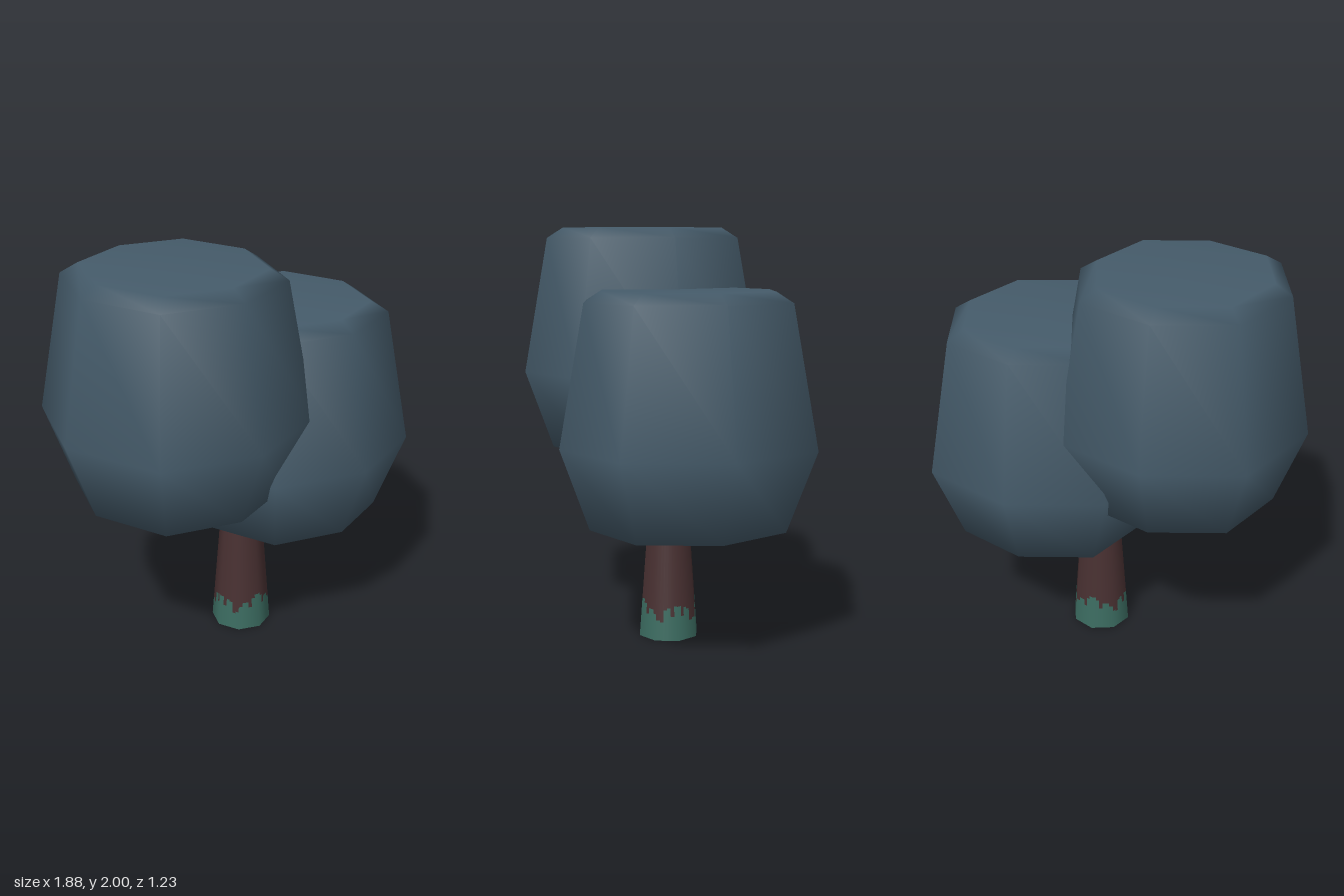
import * as THREE from 'three';

const leafMat = new THREE.MeshStandardMaterial({ name: 'slate blue leaves', color: 0x455b6a });
const barkMat = new THREE.MeshStandardMaterial({ name: 'dark bark', color: 0x483031, side: THREE.DoubleSide });
const mossMat = new THREE.MeshStandardMaterial({ name: 'green moss', color: 0x3b6b60, side: THREE.DoubleSide });

// Eight-sided leaf crown: profile as [radius, height] from bottom to top
function makeCrown(name, x, y) {
  const profile = [[0, 0], [0.475, 0], [0.615, 0.385], [0.495, 1.045], [0.415, 1.095], [0, 1.095]];
  const geo = new THREE.LatheGeometry(profile.map(([r, h]) => new THREE.Vector2(r, h)), 8);
  // The diagonal corners bulge a little beyond a regular octagon
  const pos = geo.attributes.position;
  for (let i = 0; i < pos.count; i++) {
    const px = pos.getX(i), pz = pos.getZ(i);
    if (Math.abs(px) > 0.1 && Math.abs(pz) > 0.1) {
      pos.setX(i, px * 1.02);
      pos.setZ(i, pz * 1.07);
    }
  }
  const crown = new THREE.Mesh(geo, leafMat);
  crown.name = name;
  crown.position.set(x, y, 0);
  return crown;
}

// Moss edge heights over a quarter turn, mirrored around the trunk
const mossEdge = [0.19, 0.17, 0.12, 0.15, 0.15, 0.13, 0.1, 0.09, 0.15, 0.16, 0.12, 0.17];
const COLUMNS = 48;
const TRUNK_TOP = 0.75;

function mossHeight(column) {
  const i = column % 24;
  return mossEdge[i < 12 ? i : 23 - i];
}

// Point on the tapered eight-sided trunk wall
function trunkPoint(column, y) {
  const a = (column / COLUMNS) * Math.PI * 2;
  const side = Math.PI / 4;
  const local = (((column % 6) / 6) - 0.5) * side;
  const r = (0.151 - 0.075 * y) * Math.cos(side / 2) / Math.cos(local);
  return [Math.sin(a) * r, y, Math.cos(a) * r];
}

// Wall of narrow strips between two heights given per column
function makeWall(name, low, high, material) {
  const positions = [], normals = [];
  for (let c = 0; c < COLUMNS; c++) {
    const y0 = low(c), y1 = high(c);
    const corners = [[c, y0], [c + 1, y0], [c + 1, y1], [c, y0], [c + 1, y1], [c, y1]];
    for (const [col, y] of corners) {
      const a = (col / COLUMNS) * Math.PI * 2;
      positions.push(...trunkPoint(col, y));
      normals.push(Math.sin(a) * 0.997, 0.075, Math.cos(a) * 0.997);
    }
  }
  const geo = new THREE.BufferGeometry();
  geo.setAttribute('position', new THREE.Float32BufferAttribute(positions, 3));
  geo.setAttribute('normal', new THREE.Float32BufferAttribute(normals, 3));
  const wall = new THREE.Mesh(geo, material);
  wall.name = name;
  return wall;
}

export function createModel() {
  const tree = new THREE.Group();
  tree.name = 'tree';

  // Trunk, open at the base, with moss creeping up from the ground
  const trunk = new THREE.Group();
  trunk.name = 'trunk';
  trunk.position.x = 0.077;
  trunk.add(
    makeWall('moss', () => 0, mossHeight, mossMat),
    makeWall('bark', mossHeight, () => TRUNK_TOP, barkMat)
  );

  // Two overlapping crowns
  tree.add(trunk, makeCrown('upperCrown', -0.327, 0.905), makeCrown('lowerCrown', 0.327, 0.615));
  return tree;
}
